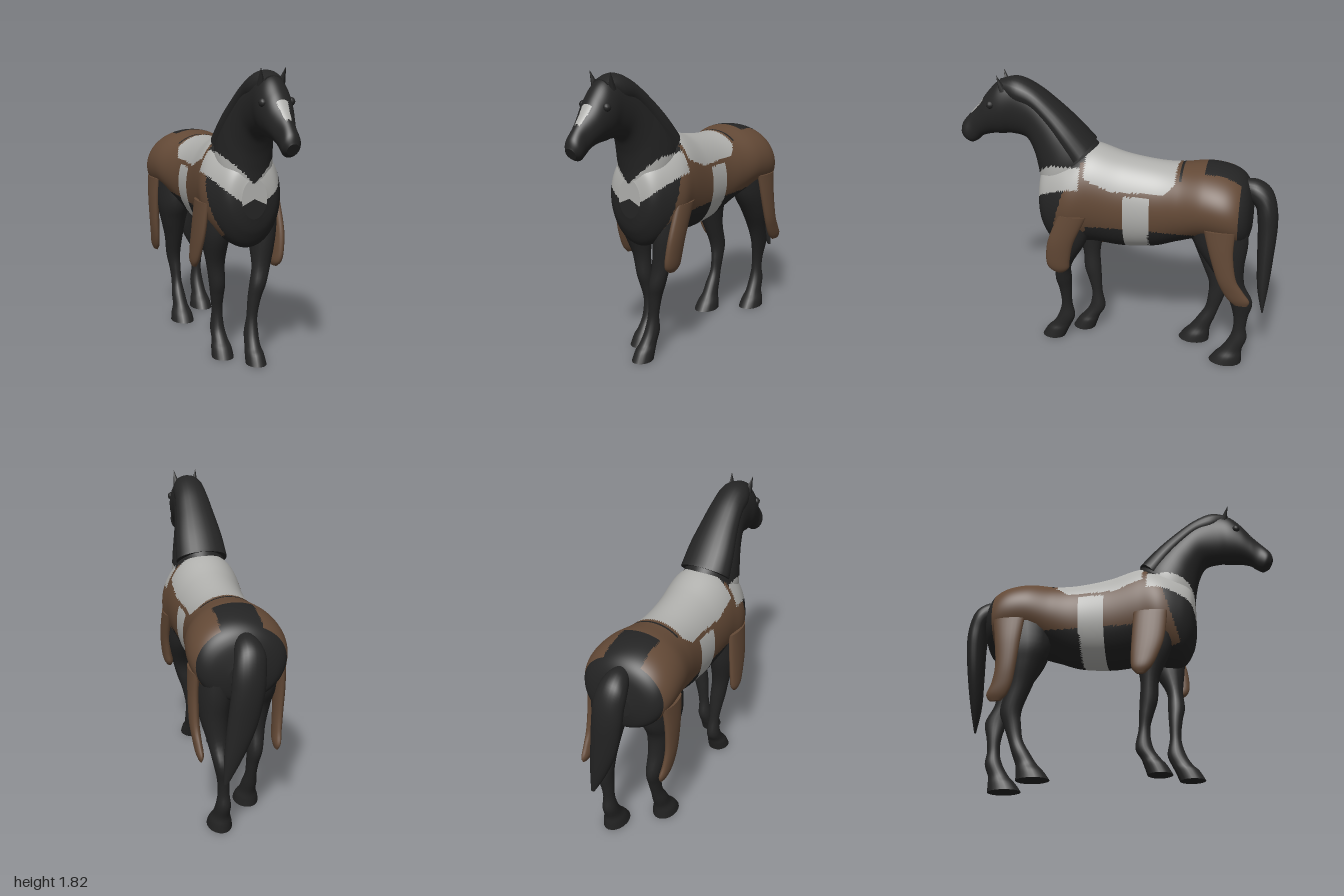
import * as THREE from 'three';

const mat = (name, color) => {
  const m = new THREE.MeshStandardMaterial({ color });
  m.name = name;
  return m;
};

// Smooth interpolation through rows of numbers
function sampleRow(rows, t) {
  const i = Math.min(Math.floor(t), rows.length - 2), f = t - i;
  const at = (k) => rows[Math.max(0, Math.min(rows.length - 1, k))];
  const [a, b, c, d] = [at(i - 1), at(i), at(i + 1), at(i + 2)];
  return b.map((_, k) => b[k] + 0.5 * f * (c[k] - a[k] + f * (2 * a[k] - 5 * b[k] + 4 * c[k] - d[k]
    + f * (3 * (b[k] - c[k]) + d[k] - a[k]))));
}

// Skin over elliptical sections. Row: [z1, y1, z2, y2, half width, centre x].
// paint(x, y, z) picks the material index of each face.
function loft(rows, around, steps, paint = () => 0) {
  const pos = [], tris = [], count = (rows.length - 1) * steps;
  const vert = (s, th) => {
    const [z1, y1, z2, y2, w, x = 0] = s, c = Math.cos(th) / 2;
    pos.push(x + Math.sin(th) * w, (y1 + y2) / 2 + c * (y1 - y2), (z1 + z2) / 2 + c * (z1 - z2));
  };
  for (let i = 0; i <= count; i++) {
    const s = sampleRow(rows, i / steps);
    for (let j = 0; j < around; j++) vert(s, (j / around) * Math.PI * 2);
  }
  for (let i = 0; i < count; i++) for (let j = 0; j < around; j++) {
    const k = (j + 1) % around, a = i * around + j, b = i * around + k;
    tris.push([a, b, a + around], [b, b + around, a + around]);
  }
  // end caps on their own vertices
  [0, count].forEach((i) => {
    const s = sampleRow(rows, i / steps), base = pos.length / 3;
    for (let j = 0; j < around; j++) vert(s, (j / around) * Math.PI * 2);
    pos.push(s[5] || 0, (s[1] + s[3]) / 2, (s[0] + s[2]) / 2);
    for (let j = 0; j < around; j++) {
      const p = base + j, q = base + (j + 1) % around, c = base + around;
      tris.push(i ? [c, p, q] : [c, q, p]);
    }
  });
  const P = (i) => new THREE.Vector3(pos[3 * i], pos[3 * i + 1], pos[3 * i + 2]);
  let volume = 0;
  const buckets = [[], [], []];
  for (const t of tris) {
    const [a, b, c] = t.map(P);
    volume += a.dot(b.clone().cross(c));
    const m = a.add(b).add(c).divideScalar(3);
    buckets[paint(m.x, m.y, m.z)].push(t);
  }
  const geo = new THREE.BufferGeometry(), index = [];
  buckets.forEach((list, m) => {
    const start = index.length;
    for (const [a, b, c] of list) index.push(...(volume > 0 ? [a, b, c] : [a, c, b]));
    if (index.length > start) geo.addGroup(start, index.length - start, m);
  });
  geo.setAttribute('position', new THREE.Float32BufferAttribute(pos, 3));
  geo.setIndex(index);
  geo.computeVertexNormals();
  return geo;
}

const BLACK = 0, BROWN = 1, GREY = 2;
const collarTop = (x) => 1.13 + Math.abs(x);

// Colour layout of the blanket, saddle, collar and girth
function cover(x, y, z) {
  const ax = Math.abs(x);
  if (z > 0.2) {
    if (y > collarTop(x)) return BLACK;
    if (y > 1.0 + 0.2 * ax + 2.3 * ax * ax) return GREY;
  }
  if (z < -0.77) return BLACK;
  if (z > -0.38 && z < 0.175) {
    let edge = 1.175 + Math.max(0, z) * 0.4;
    if (z < -0.31) edge += (-0.31 - z) * 0.9;
    if (y > edge) return GREY;
  }
  if (z < -0.405 && z > -0.418 && ax < 0.15 && y > 1.2) return BLACK;
  const lean = y < 0.9 ? 0.01 : 0;
  if (z < -0.065 - lean && z > -0.23 + lean && y < 1.15) return GREY;
  if (z > 0.3 + (1.15 - y) * 0.3) return BLACK;
  if (z > 0.17) return y > 0.9 - (z - 0.17) * 1.8 && ax > 0.15 ? BROWN : BLACK;
  if (z < -0.55) return y > 0.94 + (z + 0.55) * 1.5 && ax > 0.12 ? BROWN : BLACK;
  return y > 0.93 ? BROWN : BLACK;
}

export function createModel() {
  const model = new THREE.Group();
  const black = mat('black coat', 0x242424);
  const brown = mat('brown blanket', 0x634936);
  const grey = mat('pale grey cloth', 0xb0b0ad);
  const palette = [black, brown, grey];
  const add = (name, geo, material = black) => {
    const m = new THREE.Mesh(geo, material);
    m.name = name;
    model.add(m);
    return m;
  };

  // Barrel of the body: [z, top, bottom, half width]
  const body = [
    [0.49, 1.16, 0.92, 0.08], [0.465, 1.25, 0.82, 0.155], [0.4, 1.32, 0.73, 0.205], [0.28, 1.36, 0.735, 0.25],
    [0.15, 1.4, 0.75, 0.24], [-0.05, 1.345, 0.735, 0.225], [-0.25, 1.315, 0.755, 0.22], [-0.4, 1.31, 0.81, 0.24],
    [-0.55, 1.325, 0.86, 0.275], [-0.68, 1.31, 0.85, 0.285], [-0.77, 1.27, 0.83, 0.26], [-0.82, 1.2, 0.85, 0.2],
    [-0.845, 1.08, 0.93, 0.09],
  ].map(([z, t, b, w]) => [z, t, z, b, w]);
  add('body', loft(body, 120, 10, cover), palette);

  // Neck and head: crest point, throat point, half width
  const neck = [
    [0.05, 1.33, 0.44, 0.95, 0.15], [0.14, 1.415, 0.485, 1.1, 0.17], [0.25, 1.53, 0.5, 1.22, 0.155],
    [0.37, 1.64, 0.525, 1.33, 0.13], [0.5, 1.74, 0.57, 1.41, 0.11], [0.62, 1.79, 0.66, 1.43, 0.1],
    [0.73, 1.765, 0.72, 1.425, 0.102], [0.81, 1.69, 0.79, 1.42, 0.09], [0.87, 1.61, 0.855, 1.4, 0.07],
    [0.93, 1.545, 0.89, 1.37, 0.055], [0.985, 1.48, 0.93, 1.35, 0.055], [1.0, 1.43, 0.965, 1.365, 0.035],
  ];
  const neckPaint = (x, y, z) => {
    if (z > 0.84 && z < 0.925 && y > 1.51 && Math.abs(x) < 0.015 + (0.94 - z) * 0.2) return GREY;
    return y > 1.34 || y > collarTop(x) || z > 0.6 ? BLACK : cover(x, y, z);
  };
  add('neckAndHead', loft(neck, 64, 8, neckPaint), palette);

  // Mane lying over the crest
  const mane = neck.slice(1, 7).map(([z1, y1, z2, y2, w], i) => {
    const f = i === 5 ? 0.12 : 0.45, k = i === 5 ? 0.5 : 0.97;
    return [z1, y1 + 0.005, z1 + (z2 - z1) * f, y1 + (y2 - y1) * f, w * k];
  });
  add('mane', loft(mane, 24, 5));

  // Ears and brows
  for (const s of [-1, 1]) {
    const ear = add('ear', new THREE.ConeGeometry(0.03, 0.13, 6));
    ear.position.set(s * 0.065, 1.755, 0.71);
    ear.rotation.set(0.3, 0, -s * 0.15);
    const brow = add('eye', new THREE.SphereGeometry(0.025, 12, 8));
    brow.position.set(s * 0.083, 1.63, 0.775);
  }

  // Legs and hanging flaps: [y, front z, back z, half width, centre x]
  const column = (name, rows, material) =>
    add(name, loft(rows.map(([y, f, b, w, x]) => [f, y, b, y, w, x]), 20, 5), material);

  column('frontLeftLeg', [
    [0.95, 0.4, 0.14, 0.09, 0.14], [0.78, 0.4, 0.18, 0.085, 0.135], [0.6, 0.385, 0.28, 0.06, 0.115],
    [0.48, 0.395, 0.29, 0.052, 0.09], [0.39, 0.38, 0.295, 0.042, 0.07], [0.27, 0.37, 0.3, 0.034, 0.055],
    [0.17, 0.395, 0.285, 0.043, 0.048], [0.1, 0.435, 0.31, 0.047, 0.043], [0.06, 0.475, 0.33, 0.056, 0.042],
    [0, 0.51, 0.355, 0.062, 0.042]]);
  column('frontRightLeg', [
    [0.95, 0.36, 0.08, 0.09, -0.14], [0.78, 0.34, 0.1, 0.085, -0.145], [0.6, 0.265, 0.145, 0.058, -0.135],
    [0.46, 0.25, 0.14, 0.05, -0.12], [0.38, 0.225, 0.135, 0.042, -0.115], [0.28, 0.2, 0.13, 0.034, -0.11],
    [0.17, 0.215, 0.11, 0.043, -0.108], [0.1, 0.26, 0.145, 0.05, -0.106], [0.06, 0.295, 0.16, 0.062, -0.106],
    [0, 0.33, 0.18, 0.068, -0.106]]);
  column('rearLeftLeg', [
    [1.08, -0.46, -0.82, 0.11, 0.14], [0.88, -0.5, -0.835, 0.11, 0.14], [0.72, -0.6, -0.82, 0.085, 0.145],
    [0.58, -0.69, -0.83, 0.06, 0.135], [0.46, -0.74, -0.885, 0.046, 0.125], [0.35, -0.77, -0.865, 0.036, 0.113],
    [0.26, -0.775, -0.855, 0.034, 0.11], [0.18, -0.755, -0.865, 0.044, 0.11], [0.1, -0.71, -0.84, 0.05, 0.113],
    [0.05, -0.665, -0.84, 0.066, 0.115], [0, -0.63, -0.84, 0.074, 0.115]]);
  column('rearRightLeg', [
    [1.08, -0.42, -0.8, 0.11, -0.14], [0.85, -0.415, -0.76, 0.11, -0.14], [0.72, -0.47, -0.7, 0.085, -0.14],
    [0.58, -0.53, -0.69, 0.06, -0.13], [0.44, -0.585, -0.72, 0.046, -0.12], [0.34, -0.585, -0.69, 0.037, -0.112],
    [0.25, -0.57, -0.66, 0.034, -0.11], [0.17, -0.525, -0.635, 0.044, -0.11], [0.1, -0.48, -0.61, 0.05, -0.108],
    [0.05, -0.435, -0.605, 0.068, -0.108], [0, -0.4, -0.605, 0.076, -0.108]]);

  column('frontLeftFlap', [
    [1.0, 0.33, 0.15, 0.03, 0.225], [0.82, 0.4, 0.235, 0.032, 0.225], [0.69, 0.42, 0.265, 0.032, 0.215],
    [0.62, 0.41, 0.275, 0.03, 0.205], [0.585, 0.37, 0.31, 0.015, 0.2]], brown);
  column('frontRightFlap', [
    [1.0, 0.33, 0.12, 0.03, -0.23], [0.82, 0.31, 0.11, 0.03, -0.245], [0.7, 0.27, 0.105, 0.028, -0.255],
    [0.62, 0.23, 0.11, 0.025, -0.26], [0.58, 0.19, 0.14, 0.012, -0.26]], brown);
  column('rearLeftFlap', [
    [1.0, -0.57, -0.76, 0.03, 0.25], [0.85, -0.61, -0.755, 0.03, 0.257], [0.69, -0.66, -0.78, 0.028, 0.26],
    [0.6, -0.7, -0.83, 0.025, 0.255], [0.54, -0.74, -0.87, 0.022, 0.25], [0.505, -0.78, -0.86, 0.01, 0.25]], brown);
  column('rearRightFlap', [
    [1.0, -0.56, -0.76, 0.03, -0.25], [0.85, -0.58, -0.74, 0.03, -0.255], [0.69, -0.6, -0.73, 0.028, -0.25],
    [0.58, -0.62, -0.75, 0.025, -0.24], [0.51, -0.65, -0.78, 0.022, -0.23], [0.47, -0.69, -0.76, 0.01, -0.225]], brown);

  // Tail: outer point, inner point, half width, centre x
  add('tail', loft([
    [-0.77, 1.24, -0.79, 1.12, 0.05, -0.01], [-0.86, 1.24, -0.83, 1.1, 0.075, -0.01],
    [-0.94, 1.19, -0.86, 1.06, 0.09, -0.01], [-0.985, 1.09, -0.87, 1.01, 0.095, 0],
    [-1.0, 0.95, -0.88, 0.92, 0.095, 0.01], [-0.99, 0.75, -0.89, 0.74, 0.085, 0.04],
    [-0.975, 0.56, -0.905, 0.56, 0.055, 0.085], [-0.955, 0.4, -0.945, 0.4, 0.012, 0.13]], 24, 6));

  return model;
}
